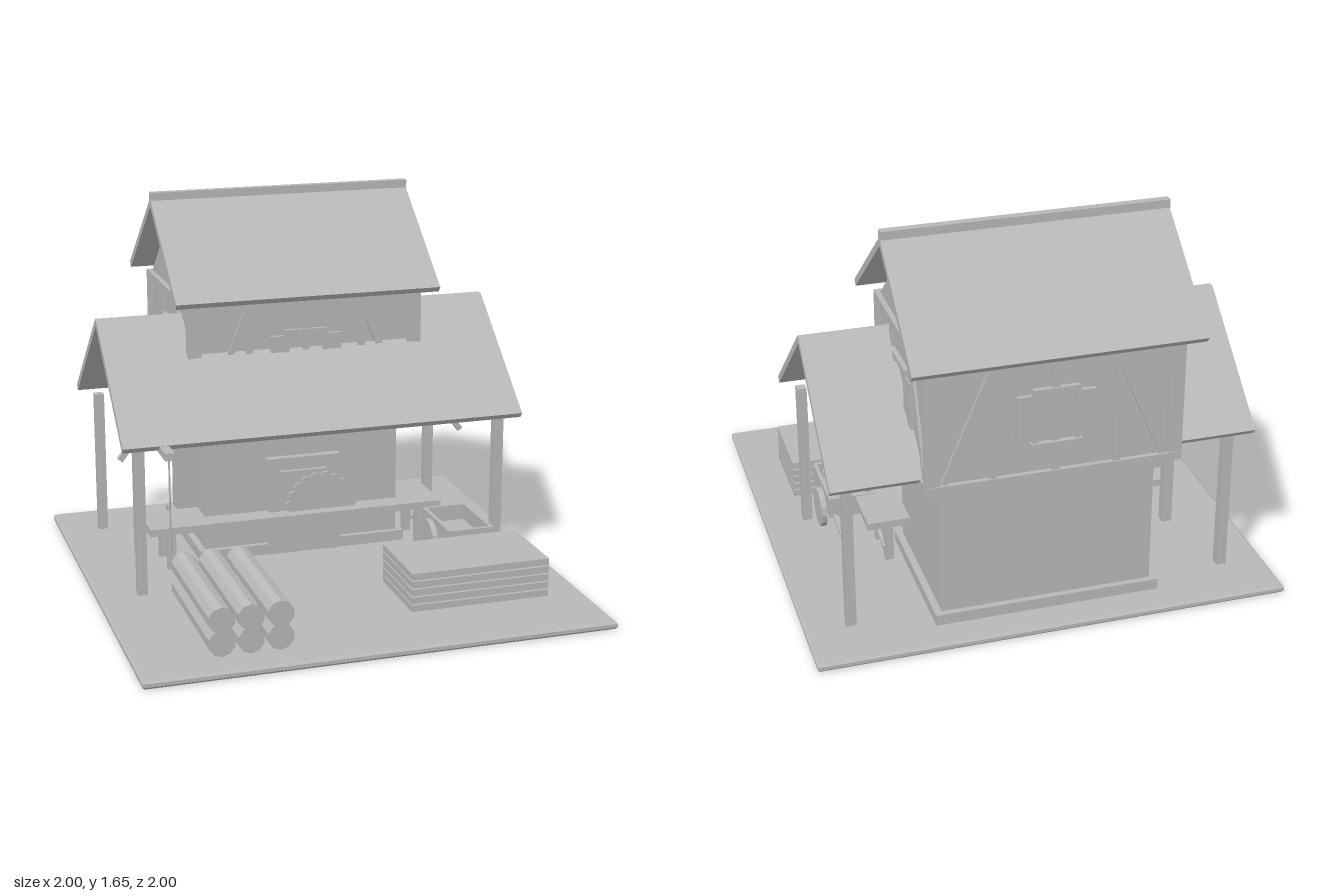
import * as THREE from 'three';

const grey = new THREE.MeshStandardMaterial({ color: 0xb8b8b8, flatShading: true });
grey.name = 'plain grey';

function add(parent, name, geometry, x = 0, y = 0, z = 0) {
  const m = new THREE.Mesh(geometry, grey);
  m.name = name;
  m.position.set(x, y, z);
  parent.add(m);
  return m;
}

// Box given by its minimum and maximum on each axis
function block(parent, name, x0, x1, y0, y1, z0, z1) {
  return add(parent, name, new THREE.BoxGeometry(x1 - x0, y1 - y0, z1 - z0),
    (x0 + x1) / 2, (y0 + y1) / 2, (z0 + z1) / 2);
}

// Box stretched between two points
function beam(parent, name, a, b, w, d) {
  const p = new THREE.Vector3(...a), q = new THREE.Vector3(...b);
  const dir = q.clone().sub(p);
  const m = add(parent, name, new THREE.BoxGeometry(w, dir.length(), d));
  m.position.copy(p).add(q).multiplyScalar(0.5);
  m.quaternion.setFromUnitVectors(new THREE.Vector3(0, 1, 0), dir.normalize());
  return m;
}

function group(parent, name, x = 0, y = 0, z = 0) {
  const g = new THREE.Group();
  g.name = name;
  g.position.set(x, y, z);
  parent.add(g);
  return g;
}

// Two roof slabs meeting at a ridge
function gableRoof(parent, name, halfW, zRidge, yRidge, run, yEave) {
  const g = group(parent, name);
  for (const s of [-1, 1])
    beam(g, 'roofSlab', [0, yEave, zRidge + s * run], [0, yRidge, zRidge], halfW * 2, 0.03);
  return g;
}

// Timber framing with a shuttered window; local z points out of the wall
function timberWall(parent, name, half, postX, diagX, extraX) {
  const g = group(parent, name);
  block(g, 'sillBeam', -half, half, 0.685, 0.72, -0.02, 0.02);
  block(g, 'topBeam', -half, half, 1.185, 1.22, -0.02, 0.02);
  for (const s of [-1, 1]) {
    for (const x of [postX, ...extraX])
      block(g, 'stud', s * x - 0.016, s * x + 0.016, 0.72, 1.185, -0.015, 0.014);
    beam(g, 'diagonalBrace', [s * diagX, 0.72, 0], [s * (postX + 0.005), 1.185, 0], 0.03, 0.024);
    block(g, 'windowJamb', s * 0.086 - 0.011, s * 0.086 + 0.011, 0.84, 1.085, -0.01, 0.02);
    block(g, 'shutter', s * 0.13 - 0.032, s * 0.13 + 0.032, 0.865, 1.06, 0, 0.018);
  }
  block(g, 'windowHead', -0.097, 0.097, 1.065, 1.085, -0.01, 0.02);
  block(g, 'windowSill', -0.105, 0.105, 0.83, 0.852, -0.01, 0.028);
  block(g, 'windowPane', -0.08, 0.08, 0.85, 1.07, -0.01, 0.003);
  return g;
}

export function createModel() {
  const root = new THREE.Group();
  root.name = 'sawmill';
  const zc = -0.525;

  // Ground slab with a small bevel on its edges
  const e = 0.99;
  const square = new THREE.Shape([[-e, -e], [e, -e], [e, e], [-e, e]].map(p => new THREE.Vector2(...p)));
  const base = new THREE.ExtrudeGeometry(square,
    { depth: 0.015, bevelSize: 0.01, bevelThickness: 0.01, bevelSegments: 1 });
  base.rotateX(-Math.PI / 2);
  add(root, 'ground', base, 0, 0.01, 0);

  // Lower storey
  block(root, 'plinth', -0.48, 0.48, 0.03, 0.083, -0.865, -0.175);
  block(root, 'lowerWalls', -0.45, 0.45, 0.08, 0.645, -0.84, -0.2);
  block(root, 'floorSlab', -0.51, 0.51, 0.643, 0.686, -0.9, -0.145);

  // Doorway
  const door = group(root, 'doorway');
  block(door, 'lintel', -0.17, 0.17, 0.43, 0.487, -0.21, -0.165);
  for (const s of [-1, 1])
    block(door, 'doorJamb', s * 0.137 - 0.025, s * 0.137 + 0.025, 0.035, 0.43, -0.21, -0.168);
  block(door, 'doorPanel', -0.112, 0.112, 0.035, 0.42, -0.2, -0.173);

  // Upper storey
  const upper = group(root, 'upperStorey');
  block(upper, 'upperWalls', -0.512, 0.512, 0.69, 1.215, zc - 0.385, zc + 0.385);
  for (const x of [-0.515, 0.515]) for (const z of [-0.385, 0.385])
    block(upper, 'cornerPost', x - 0.017, x + 0.017, 0.685, 1.22, zc + z - 0.017, zc + z + 0.017);
  for (let i = 0; i < 4; i++) {
    const long = i % 2 === 0;
    const w = long ? timberWall(upper, 'timberWall', 0.53, 0.255, 0.455, [0.485])
      : timberWall(upper, 'timberWall', 0.4, 0.14, 0.335, []);
    const a = i * Math.PI / 2, out = long ? 0.385 : 0.512;
    w.rotation.y = a;
    w.position.set(Math.sin(a) * out, 0, zc + Math.cos(a) * out);
    if (long) block(w, 'middleStud', -0.016, 0.016, 0.72, 1.185, -0.015, 0.014);
  }
  const tri = new THREE.Shape([new THREE.Vector2(-0.38, 1.215), new THREE.Vector2(0.38, 1.215),
    new THREE.Vector2(0, 1.535)]);
  const gable = new THREE.ExtrudeGeometry(tri, { depth: 1.02, bevelEnabled: false });
  gable.translate(0, 0, -0.51).rotateY(Math.PI / 2);
  add(upper, 'gable', gable, 0, 0, zc);

  // Roofs
  gableRoof(root, 'upperRoof', 0.595, zc, 1.605, 0.463, 1.235);
  block(root, 'ridgeBeam', -0.595, 0.595, 1.615, 1.65, zc - 0.018, zc + 0.018);
  gableRoof(root, 'lowerRoof', 0.892, -0.32, 1.135, 0.513, 0.703);

  // Posts and braces carrying the lower roof
  for (const s of [-1, 1]) {
    for (const z of [0.12, -0.747])
      block(root, 'roofPost', s * 0.81 - 0.021, s * 0.81 + 0.021, 0.03, 0.69, z - 0.021, z + 0.021);
    beam(root, 'roofBrace', [s * 0.805, 0.5, -0.315], [s * 0.66, 0.69, -0.315], 0.025, 0.025);
  }

  // Hoist
  const hoist = group(root, 'hoist', -0.717);
  block(hoist, 'hoistPost', -0.022, 0.022, 0.03, 0.69, -0.372, -0.328);
  block(hoist, 'hoistArm', -0.02, 0.02, 0.68, 0.713, -0.37, 0.305);
  add(hoist, 'rope', new THREE.CylinderGeometry(0.004, 0.004, 0.46, 6), 0, 0.45, 0.285);

  // Long saw bench
  const bench = group(root, 'sawBench');
  block(bench, 'benchTop', -0.72, 0.635, 0.204, 0.236, -0.34, -0.1);
  for (const x of [-0.62, 0.54]) for (const z of [-0.137, -0.307])
    block(bench, 'benchLeg', x - 0.018, x + 0.018, 0.03, 0.206, z - 0.018, z + 0.018);

  // Toothed saw blade
  const teeth = [];
  const n = 20;
  for (let i = 0; i < n; i++) {
    for (const [t, r] of [[0, 0.156], [0.35, 0.171], [0.8, 0.169]]) {
      const a = (i + t) / n * Math.PI * 2;
      teeth.push(new THREE.Vector2(Math.cos(a) * r, Math.sin(a) * r));
    }
  }
  add(root, 'sawBlade', new THREE.ExtrudeGeometry(new THREE.Shape(teeth),
    { depth: 0.012, bevelEnabled: false }), 0.08, 0.24, -0.164);

  // Log stack
  const logs = group(root, 'logStack');
  for (const x of [-0.655, -0.535, -0.413]) for (const y of [0.102, 0.199])
    add(logs, 'log', new THREE.CylinderGeometry(0.056, 0.056, 0.64, 10).rotateX(Math.PI / 2), x, y, 0.565);

  // Plank stack
  const planks = group(root, 'plankStack');
  for (let i = 0; i < 5; i++)
    block(planks, 'plank', 0.215, 0.83, 0.043 + i * 0.035, 0.072 + i * 0.035, 0.305, 0.672);
  block(planks, 'spacers', 0.235, 0.81, 0.033, 0.2, 0.325, 0.652);

  // Hand cart
  const cart = group(root, 'handCart', 0.64);
  block(cart, 'cartFloor', -0.105, 0.105, 0.13, 0.15, -0.07, 0.265);
  block(cart, 'cartFront', -0.105, 0.105, 0.13, 0.222, 0.25, 0.265);
  block(cart, 'cartBack', -0.105, 0.105, 0.13, 0.222, -0.07, -0.055);
  for (const s of [-1, 1]) {
    block(cart, 'cartSide', s * 0.097 - 0.008, s * 0.097 + 0.008, 0.13, 0.222, -0.07, 0.265);
    add(cart, 'cartWheel', new THREE.CylinderGeometry(0.088, 0.088, 0.025, 14).rotateZ(Math.PI / 2),
      s * 0.12, 0.12, 0.055);
    beam(cart, 'cartHandle', [s * 0.08, 0.138, -0.06], [s * 0.08, 0.1, -0.325], 0.016, 0.014);
  }
  return root;
}
